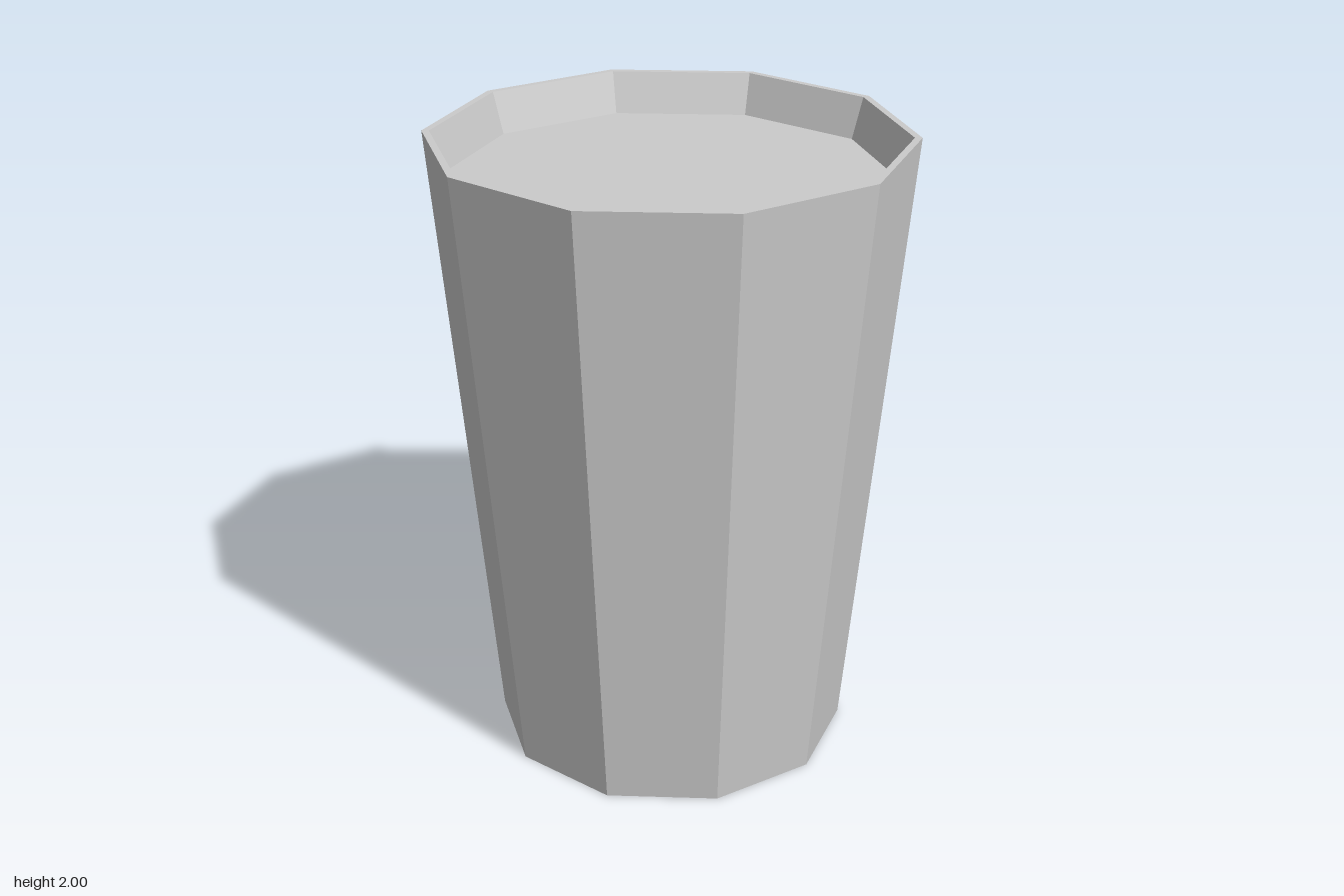
import * as THREE from 'three';

const SIDES = 10;

// Revolve a [radius, height] profile into a ten-sided shell with a corner on +x
function facetedLathe(name, profile, material) {
  const points = profile.map(([r, y]) => new THREE.Vector2(r, y));
  const mesh = new THREE.Mesh(new THREE.LatheGeometry(points, SIDES, Math.PI / 2), material);
  mesh.name = name;
  return mesh;
}

export function createModel() {
  const group = new THREE.Group();
  group.name = 'cup';
  const material = new THREE.MeshStandardMaterial({ color: 0xcccccc, flatShading: true });

  // Base, tapered outer wall, thin rim and sloping inner lip
  group.add(facetedLathe('cupWall', [
    [0, 0], [0.563, 0], [0.748, 2], [0.725, 2], [0.685, 1.87],
  ], material));

  // Flat recessed surface filling the cup just below the rim
  const filling = new THREE.Mesh(new THREE.CircleGeometry(0.685, SIDES), material);
  filling.name = 'fillingSurface';
  filling.rotation.x = -Math.PI / 2;
  filling.position.y = 1.87;
  group.add(filling);

  return group;
}
